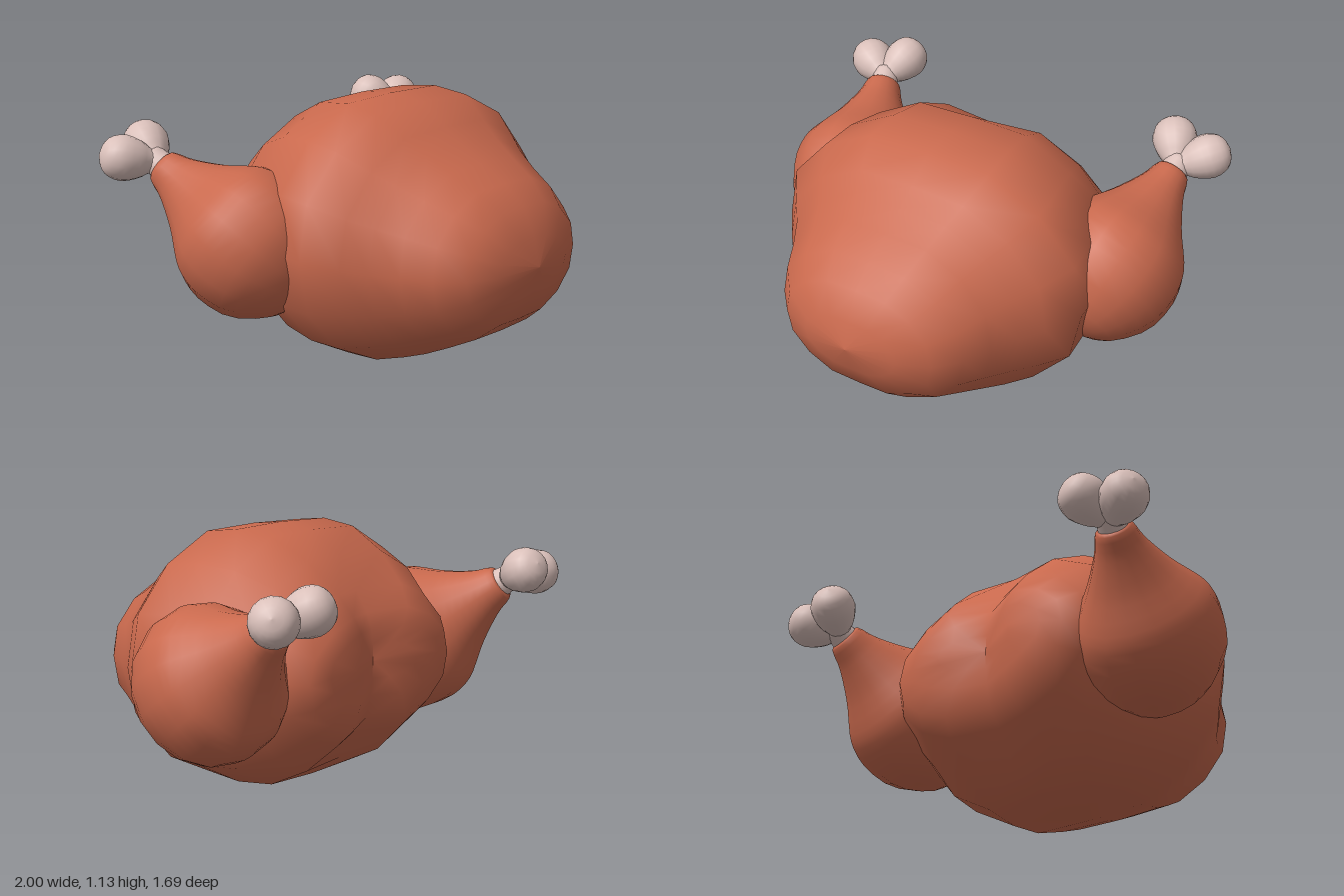
import * as THREE from 'three';

const meat = new THREE.MeshStandardMaterial({ color: 0xc9694d });
meat.name = 'roastedSkin';
const bone = new THREE.MeshStandardMaterial({ color: 0xdac0ba });
bone.name = 'bone';

// Body: oval cross-sections [z, half width, top, bottom], back to front
const SECTIONS = [
  [-0.575, 0, 0.59, 0.59], [-0.572, 0.2, 0.67, 0.51], [-0.565, 0.36, 0.74, 0.43],
  [-0.54, 0.46, 0.81, 0.32], [-0.47, 0.53, 0.9, 0.25], [-0.33, 0.61, 1.03, 0.12],
  [-0.15, 0.68, 1.12, 0.03], [0.03, 0.725, 1.14, 0.01], [0.2, 0.745, 1.12, 0.025],
  [0.33, 0.65, 1.03, 0.06], [0.42, 0.575, 0.97, 0.09], [0.53, 0.51, 0.905, 0.14],
  [0.65, 0.45, 0.84, 0.2], [0.75, 0.36, 0.76, 0.28], [0.81, 0.22, 0.64, 0.4],
  [0.84, 0, 0.52, 0.52],
];
const QUARTER = [[0, 1], [0.39, 0.985], [0.71, 0.77], [0.94, 0.42], [1, 0]];

function bodyGeometry() {
  // full outline, counter-clockwise seen from the front
  const outline = [];
  const n = QUARTER.length - 1;
  for (let i = n; i > 0; i--) outline.push([QUARTER[i][0], QUARTER[i][1]]);
  for (let i = 0; i < n; i++) outline.push([-QUARTER[i][0], QUARTER[i][1]]);
  for (let i = n; i > 0; i--) outline.push([-QUARTER[i][0], -QUARTER[i][1]]);
  for (let i = 0; i < n; i++) outline.push([QUARTER[i][0], -QUARTER[i][1]]);
  const count = outline.length;
  const positions = [];
  const index = [];
  for (const [z, w, top, bottom] of SECTIONS) {
    for (const [u, v] of outline) {
      const x = u * w;
      // cleft between the two lobes at the back
      const back = THREE.MathUtils.clamp((-0.25 - z) / 0.25, 0, 1);
      const cleft = back * Math.max(0, 1 - Math.abs(x) / 0.2);
      const half = (top - bottom) / 2 * (1 - 0.07 * cleft);
      positions.push(x, (top + bottom) / 2 + v * half, z + 0.085 * cleft);
    }
  }
  for (let r = 0; r < SECTIONS.length - 1; r++) {
    for (let i = 0; i < count; i++) {
      const a = r * count + i;
      const b = r * count + (i + 1) % count;
      if (r > 0) index.push(a, b, b + count);
      if (r < SECTIONS.length - 2) index.push(a, b + count, a + count);
      else if (r === 0) index.push(a, b + count, a + count);
    }
  }
  const g = new THREE.BufferGeometry();
  g.setAttribute('position', new THREE.Float32BufferAttribute(positions, 3));
  g.setIndex(index);
  g.computeVertexNormals();
  return g;
}

// Smooth turned shape from [radius, distance along axis], aimed from one point at another
function turned(name, profile, material, from, to, squash = 1, sides = 16) {
  const curve = new THREE.SplineCurve(profile.map(([r, y]) => new THREE.Vector2(r, y)));
  const points = curve.getPoints(profile.length * 2);
  points.forEach((p) => { p.x = Math.max(p.x, 0); });
  const mesh = new THREE.Mesh(new THREE.LatheGeometry(points, sides), material);
  const start = new THREE.Vector3(...from);
  const direction = new THREE.Vector3(...to).sub(start).normalize();
  mesh.quaternion.setFromUnitVectors(new THREE.Vector3(0, 1, 0), direction);
  mesh.position.copy(start);
  mesh.scale.x = squash;
  mesh.name = name;
  return mesh;
}

const THIGH = [[0, -0.33], [0.1, -0.315], [0.2, -0.265], [0.305, -0.14], [0.335, 0], [0.32, 0.1],
  [0.285, 0.17], [0.21, 0.265], [0.16, 0.34], [0.11, 0.43], [0.085, 0.5], [0.06, 0.515], [0, 0.515]];
const SHANK = [[0.06, -0.1], [0.066, 0], [0.06, 0.06], [0.05, 0.1], [0, 0.11]];
const KNOB = [[0.045, -0.17], [0.05, -0.12], [0.08, -0.07], [0.1, 0], [0.085, 0.06], [0.05, 0.092], [0, 0.105]];

function drumstick(name, hip, ankle, innerKnob, outerKnob) {
  const leg = new THREE.Group();
  leg.name = name;
  const neck = new THREE.Vector3(...hip).lerp(new THREE.Vector3(...ankle), 1.12).toArray();
  leg.add(turned('thigh', THIGH, meat, hip, ankle, 0.93));
  leg.add(turned('shankBone', SHANK, bone, ankle, neck));
  // each knob points away from the neck
  for (const [part, k] of [['innerKnob', innerKnob], ['outerKnob', outerKnob]]) {
    const beyond = k.map((c, i) => c + (c - neck[i]));
    leg.add(turned(part, KNOB, bone, k, beyond));
  }
  return leg;
}

export function createModel() {
  const model = new THREE.Group();
  model.name = 'roastBird';
  const body = new THREE.Mesh(bodyGeometry(), meat);
  body.name = 'body';
  model.add(body);
  model.add(drumstick('leftDrumstick', [0.68, 0.56, -0.2], [0.75, 0.83, -0.59],
    [0.695, 0.925, -0.745], [0.865, 0.905, -0.72]));
  model.add(drumstick('rightDrumstick', [-0.645, 0.56, -0.2], [-0.765, 0.83, -0.58],
    [-0.74, 0.92, -0.745], [-0.9, 0.89, -0.7]));
  return model;
}
